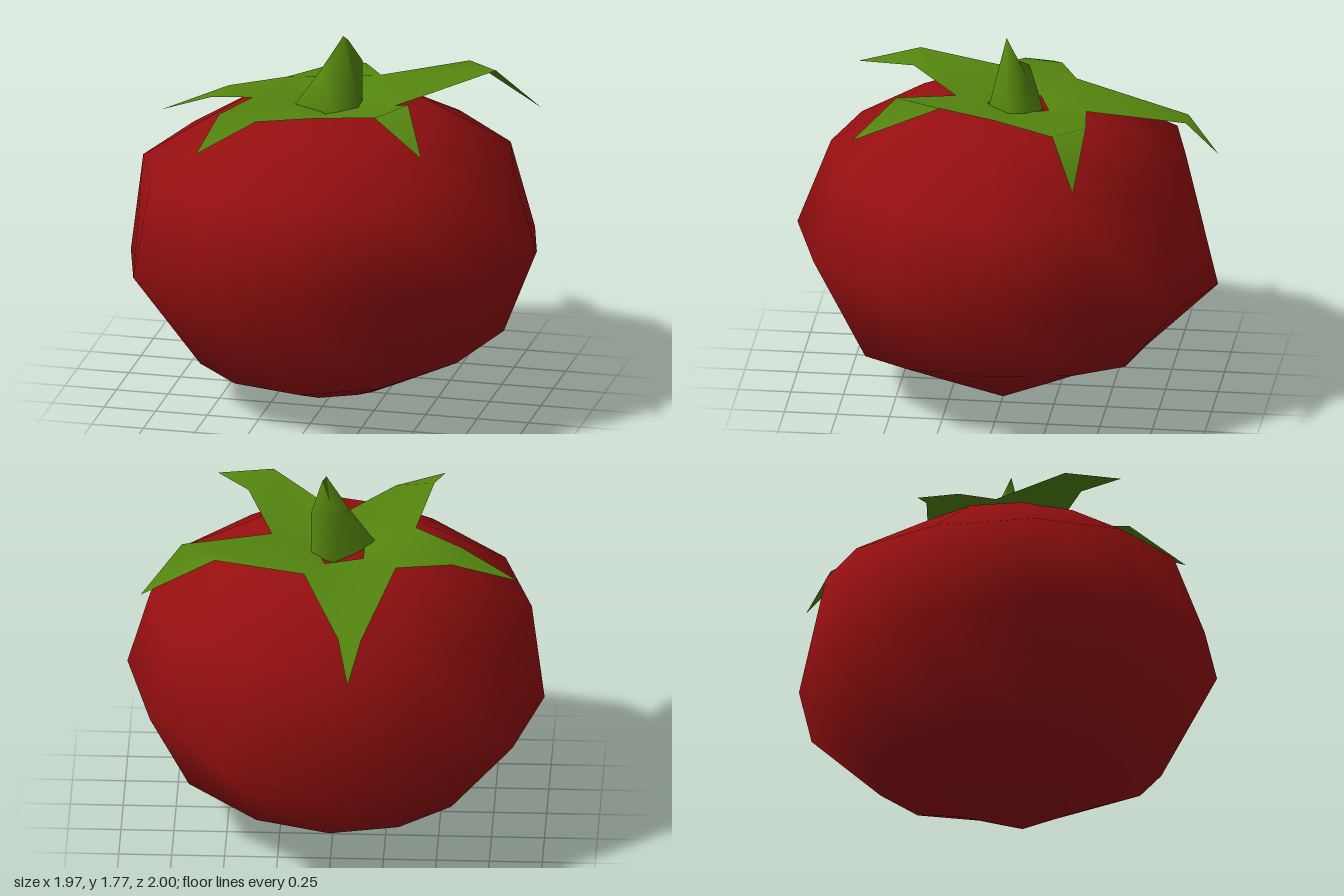
import * as THREE from 'three';
import { mergeVertices } from 'three/addons/utils/BufferGeometryUtils.js';

// Smooth-shaded geometry from a list of triangle corner points
function fromPoints(points) {
  const g = new THREE.BufferGeometry();
  g.setAttribute('position', new THREE.Float32BufferAttribute(points.flat(), 3));
  const merged = mergeVertices(g, 1e-4);
  merged.computeVertexNormals();
  return merged;
}

// Skin between rings of points, listed from top to bottom
function loft(rings) {
  const tris = [];
  for (let r = 0; r < rings.length - 1; r++) {
    const up = rings[r], low = rings[r + 1], n = up.length;
    for (let i = 0; i < n; i++) {
      const j = (i + 1) % n;
      tris.push(up[i], up[j], low[i], up[j], low[j], low[i]);
    }
  }
  return fromPoints(tris);
}

const SIDES = 12;

// Uneven ring: radii and heights given towards +x, +z, -x, -z and blended between
function unevenRing(radii, heights) {
  return Array.from({ length: SIDES }, (_, i) => {
    const a = (i / SIDES) * Math.PI * 2, c = Math.cos(a), s = Math.sin(a);
    const kx = c >= 0 ? 0 : 2, kz = s >= 0 ? 1 : 3;
    const mix = (v) => v[kx] * c * c + v[kz] * s * s;
    const radius = mix(radii);
    return [radius * c, mix(heights), radius * s];
  });
}

const pole = (p, n) => Array.from({ length: n }, () => p);

function createFruit(material) {
  const geometry = loft([
    pole([0, 1.395, 0], SIDES),
    unevenRing([0.47, 0.5, 0.48, 0.43], [1.4, 1.4, 1.4, 1.4]),
    unevenRing([0.87, 0.84, 0.93, 0.85], [1.14, 1.19, 1.1, 1.19]),
    unevenRing([0.98, 1, 0.99, 1], [0.77, 0.77, 0.62, 0.55]),
    unevenRing([0.82, 0.7, 0.65, 0.65], [0.36, 0.21, 0.19, 0.21]),
    unevenRing([0.5, 0.33, 0.2, 0.33], [0.18, 0.07, 0.06, 0.105]),
    pole([0.18, 0, 0], SIDES),
  ]);
  const mesh = new THREE.Mesh(geometry, material);
  mesh.name = 'fruit';
  return mesh;
}

function createLeaves(material) {
  // Each sector: inner rim, valley, then the leaf's first shoulder, tip and second shoulder
  const sectors = [
    { rim: [0.04, 1.41, -0.2], valley: [0.13, 1.45, -0.39],
      leaf: [[0.55, 1.54, -0.44], [0.9, 1.34, -0.42], [0.71, 1.55, -0.3]] },
    { rim: [0.1, 1.41, -0.02], valley: [0.3, 1.45, 0.02],
      leaf: [[0.42, 1.55, 0.27], [0.58, 1.43, 0.67], [0.31, 1.55, 0.49]] },
    { rim: [-0.02, 1.41, 0.1], valley: [-0.02, 1.44, 0.25],
      leaf: [[-0.27, 1.48, 0.48], [-0.49, 1.4, 0.77], [-0.45, 1.5, 0.47]] },
    { rim: [-0.14, 1.41, 0], valley: [-0.38, 1.46, 0.09],
      leaf: [[-0.6, 1.41, -0.01], [-0.87, 1.29, -0.11], [-0.56, 1.41, -0.19]] },
    { rim: [-0.14, 1.41, -0.14], valley: [-0.3, 1.44, -0.29],
      leaf: [[-0.16, 1.34, -0.84], [-0.1, 1.17, -0.99], [-0.05, 1.34, -0.84]] },
  ];
  const group = new THREE.Group();
  group.name = 'leafCrown';
  const tris = [];
  sectors.forEach((a, i) => {
    const b = sectors[(i + 1) % sectors.length];
    const [first, tip, second] = a.leaf;
    tris.push(a.rim, b.valley, a.valley, a.rim, b.rim, b.valley);
    tris.push(a.valley, b.valley, second, a.valley, second, first);
    tris.push(first, second, tip);
  });
  const mesh = new THREE.Mesh(fromPoints(tris), material);
  mesh.name = 'leaves';
  group.add(mesh);
  return group;
}

function createStem(material) {
  // Slanted cut on top, wider foot below
  const cut = [[-0.07, 1.59, 0.01], [-0.03, 1.61, -0.1], [0.11, 1.62, -0.1], [0.06, 1.75, -0.015], [0.04, 1.77, 0]];
  const foot = [[-0.2, 1.4, 0.03], [0, 1.4, -0.17], [0.11, 1.4, -0.1], [0.11, 1.4, -0.02], [0.02, 1.4, 0.09]];
  const mesh = new THREE.Mesh(loft([pole([0.02, 1.65, -0.05], 5), cut, foot]), material);
  mesh.name = 'stem';
  return mesh;
}

export function createModel() {
  const red = new THREE.MeshStandardMaterial({ color: 0x960f10 });
  red.name = 'ripe red';
  const green = new THREE.MeshStandardMaterial({ color: 0x55870f, side: THREE.DoubleSide });
  green.name = 'leaf green';

  const model = new THREE.Group();
  model.name = 'tomato';
  model.add(createFruit(red), createLeaves(green), createStem(green));
  return model;
}
